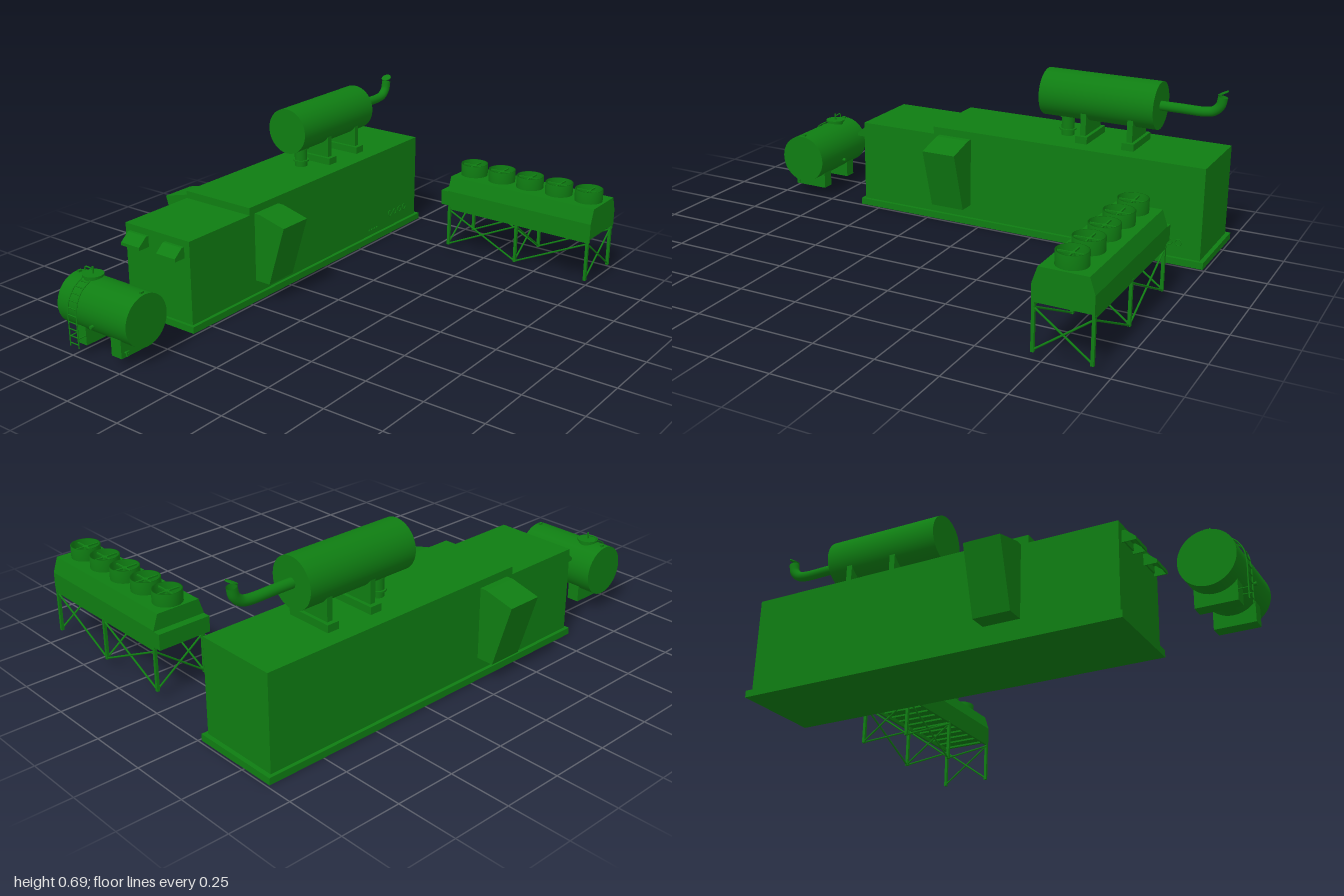
import * as THREE from 'three';

const V = (x, y, z) => new THREE.Vector3(x, y, z);

export function createModel() {
  const root = new THREE.Group();
  const green = new THREE.MeshStandardMaterial({ color: 0x0f7d12, side: THREE.DoubleSide });

  const group = (name) => {
    const g = new THREE.Group();
    g.name = name;
    root.add(g);
    return g;
  };
  const add = (parent, name, geometry) => {
    const m = new THREE.Mesh(geometry, green);
    m.name = name;
    parent.add(m);
    return m;
  };
  // Box given by its limits on each axis
  const box = (parent, name, x0, x1, y0, y1, z0, z1) => {
    const m = add(parent, name, new THREE.BoxGeometry(x1 - x0, y1 - y0, z1 - z0));
    m.position.set((x0 + x1) / 2, (y0 + y1) / 2, (z0 + z1) / 2);
    return m;
  };
  // Round bar between two points
  const rod = (parent, name, a, b, r, sides = 32) => {
    const m = add(parent, name, new THREE.CylinderGeometry(r, r, a.distanceTo(b), sides));
    m.position.copy(a).lerp(b, 0.5);
    m.quaternion.setFromUnitVectors(V(0, 1, 0), b.clone().sub(a).normalize());
    return m;
  };
  const extrude = (points, depth) => new THREE.ExtrudeGeometry(
    new THREE.Shape(points.map(([x, y]) => new THREE.Vector2(x, y))),
    { depth, bevelEnabled: false });
  // Profile of [z, y] points extruded from x0 to x1
  const alongX = (parent, name, points, x0, x1) => {
    const geo = extrude(points.map(([z, y]) => [-z, y]), x1 - x0).rotateY(Math.PI / 2);
    return add(parent, name, geo.translate(x0, 0, 0));
  };
  const tube = (parent, name, points, r, segments = 32) => add(parent, name,
    new THREE.TubeGeometry(new THREE.CatmullRomCurve3(points), segments, r, 16));

  // Container housing
  const cx = -0.448;
  const housing = group('containerHousing');
  box(housing, 'skidBase', -0.635, -0.26, 0, 0.028, -0.99, 0.595);
  box(housing, 'rearHousing', -0.62, -0.275, 0.028, 0.412, -0.972, 0.23);
  box(housing, 'frontHousing', -0.62, -0.275, 0.028, 0.38, 0.23, 0.582);

  // Tapered air intakes on both sides
  for (const s of [-1, 1]) {
    const profile = [[0.17, 0.085], [0.245, 0.085], [0.325, 0.348], [0.2, 0.38], [0.17, 0.38]];
    const geo = extrude(profile.map(([x, y]) => [s * x, y]), 0.15);
    add(housing, 'sideIntake', geo).position.set(cx, 0, 0.05);
  }

  // Front vent hoods: sloped top, cheeks and inner louvre
  for (const x of [-0.545, -0.353]) {
    alongX(housing, 'ventHoodTop', [[0.58, 0.352], [0.595, 0.352], [0.635, 0.318],
      [0.635, 0.305], [0.63, 0.305], [0.63, 0.315], [0.592, 0.346], [0.58, 0.346]], x - 0.05, x + 0.05);
    for (const s of [-0.05, 0.046]) {
      alongX(housing, 'ventHoodCheek', [[0.58, 0.352], [0.595, 0.352], [0.635, 0.318],
        [0.635, 0.305], [0.58, 0.305]], x + s, x + s + 0.004);
    }
    box(housing, 'ventLouvre', x - 0.042, x + 0.042, 0.315, 0.34, 0.58, 0.588);
  }

  // Pipe connections low on the left wall
  for (const z of [-0.765, -0.803, -0.842, -0.88]) {
    const ring = add(housing, 'pipeFlange', new THREE.TorusGeometry(0.013, 0.002, 8, 24));
    ring.rotation.y = Math.PI / 2;
    ring.position.set(-0.274, 0.09, z);
  }
  for (const z of [-0.6, -0.62, -0.64, -0.66]) {
    rod(housing, 'smallPort', V(-0.276, 0.053, z), V(-0.271, 0.053, z), 0.005, 12);
  }

  // Exhaust silencer
  const exhaust = group('exhaustSilencer');
  rod(exhaust, 'silencerDrum', V(cx, 0.59, -0.72), V(cx, 0.59, -0.225), 0.099, 64);
  rod(exhaust, 'inletPipe', V(cx, 0.41, -0.32), V(cx, 0.51, -0.32), 0.027);
  for (const y of [0.435, 0.492]) {
    rod(exhaust, 'inletFlange', V(cx, y, -0.32), V(cx, y + 0.006, -0.32), 0.035);
  }
  for (const z of [-0.42, -0.622]) {
    box(exhaust, 'saddleFoot', cx - 0.1, cx + 0.1, 0.41, 0.442, z - 0.026, z + 0.026);
    // Saddle plate cut to the drum
    const saddle = new THREE.Shape();
    saddle.moveTo(-0.082, 0.44);
    saddle.lineTo(0.082, 0.44);
    saddle.lineTo(0.082, 0.536);
    saddle.absarc(0, 0.59, 0.098, -0.583, -Math.PI + 0.583, true);
    saddle.closePath();
    const geo = new THREE.ExtrudeGeometry(saddle, { depth: 0.024, bevelEnabled: false, curveSegments: 24 });
    add(exhaust, 'saddlePlate', geo).position.set(cx, 0, z - 0.012);
  }
  tube(exhaust, 'tailPipe', [V(cx, 0.59, -0.71), V(cx, 0.59, -0.8), V(cx, 0.59, -0.905),
    V(cx, 0.598, -0.938), V(cx, 0.622, -0.962), V(cx, 0.658, -0.97)], 0.02, 48);
  const flap = rod(exhaust, 'rainFlap', V(cx, 0.672, -0.97), V(cx, 0.676, -0.97), 0.022);
  flap.rotation.x = 0.45;

  // Fuel tank lying across the front
  const tank = group('fuelTank');
  const ty = 0.18, tz = 0.88;
  rod(tank, 'tankShell', V(-0.582, ty, tz), V(-0.218, ty, tz), 0.105, 64);
  for (const x of [-0.49, -0.303]) {
    box(tank, 'tankFoot', x - 0.026, x + 0.026, 0.035, 0.12, tz - 0.075, tz + 0.08);
  }
  rod(tank, 'manholeNeck', V(-0.49, 0.27, tz), V(-0.49, 0.292, tz), 0.036);
  rod(tank, 'manholeCover', V(-0.49, 0.29, tz), V(-0.49, 0.298, tz), 0.042);
  tube(tank, 'coverHandle', [V(-0.535, 0.3, tz), V(-0.53, 0.314, tz), V(-0.49, 0.314, tz)], 0.003);
  rod(tank, 'coverBolt', V(-0.49, 0.295, tz), V(-0.49, 0.326, tz), 0.004, 12);
  for (const x of [-0.565, -0.235]) {
    box(tank, 'liftingLug', x - 0.005, x + 0.005, 0.28, 0.293, tz - 0.008, tz + 0.008);
  }
  rod(tank, 'sideNozzles', V(-0.4, 0.14, tz - 0.112), V(-0.4, 0.14, tz + 0.112), 0.007, 16);
  rod(tank, 'drainPipe', V(-0.29, 0.055, 0.94), V(-0.258, 0.055, 0.94), 0.004, 12);
  box(tank, 'drainValve', -0.266, -0.26, 0.045, 0.065, 0.933, 0.947);

  // Ladder curving over the tank
  const ladderPath = [V(0, 0.035, 0.996), V(0, 0.1, 0.996), V(0, 0.17, 0.996),
    V(0, 0.22, 0.987), V(0, 0.26, 0.96), V(0, 0.287, 0.915)];
  const ladderCurve = new THREE.CatmullRomCurve3(ladderPath);
  for (const x of [-0.513, -0.467]) {
    tube(tank, 'ladderRail', ladderPath.map((p) => V(x, p.y, p.z)), 0.0025);
    rod(tank, 'ladderBracket', V(x, 0.075, 0.955), V(x, 0.075, 0.996), 0.0025, 8);
  }
  for (let i = 0; i < 10; i++) {
    const p = ladderCurve.getPointAt((i + 0.5) / 10);
    rod(tank, 'ladderRung', V(-0.513, p.y, p.z), V(-0.467, p.y, p.z), 0.0025, 8);
  }

  // Dry cooler
  const cooler = group('dryCooler');
  const cz = -0.83, zf = -0.722, zb = -0.938;
  alongX(cooler, 'coolerBody', [[-0.717, 0.222], [-0.717, 0.29], [-0.738, 0.352],
    [-0.922, 0.352], [-0.943, 0.29], [-0.943, 0.222]], 0.072, 0.768);
  box(cooler, 'headerBox', 0.038, 0.075, 0.222, 0.287, -0.943, -0.717);
  for (const z of [zf, zb]) {
    box(cooler, 'baseRail', 0.076, 0.766, 0.205, 0.223, z - 0.005, z + 0.005);
  }
  for (let i = 0; i < 12; i++) {
    const x = 0.1 + i * 0.058;
    box(cooler, 'coilSlat', x - 0.002, x + 0.002, 0.214, 0.223, zb, zf);
  }

  // Row of fans with open cowls
  for (let i = 0; i < 5; i++) {
    const x = 0.137 + i * 0.14;
    const cowl = [[0.055, 0.35], [0.059, 0.35], [0.059, 0.403], [0.055, 0.403], [0.055, 0.35]];
    const ring = new THREE.LatheGeometry(cowl.map(([r, y]) => new THREE.Vector2(r, y)), 40);
    add(cooler, 'fanCowl', ring).position.set(x, 0, cz);
    box(cooler, 'fanBar', x - 0.055, x + 0.055, 0.388, 0.394, cz - 0.003, cz + 0.003);
    box(cooler, 'fanBar', x - 0.003, x + 0.003, 0.388, 0.394, cz - 0.055, cz + 0.055);
    rod(cooler, 'fanHub', V(x, 0.352, cz), V(x, 0.394, cz), 0.01, 20);
  }

  // Legs and diagonal bracing
  const legs = [0.08, 0.42, 0.757];
  for (const x of legs) {
    for (const z of [zf, zb]) box(cooler, 'leg', x - 0.006, x + 0.006, 0.035, 0.215, z - 0.006, z + 0.006);
    rod(cooler, 'endBrace', V(x, 0.042, zf), V(x, 0.2, zb), 0.004, 8);
    rod(cooler, 'endBrace', V(x, 0.2, zf), V(x, 0.042, zb), 0.004, 8);
  }
  for (const z of [zf, zb]) {
    rod(cooler, 'sideBrace', V(legs[0], 0.2, z), V(legs[1], 0.038, z), 0.004, 8);
    rod(cooler, 'sideBrace', V(legs[0], 0.038, z), V(legs[1], 0.2, z), 0.004, 8);
    rod(cooler, 'sideBrace', V(legs[1], 0.038, z), V(legs[2], 0.2, z), 0.004, 8);
  }

  return root;
}
